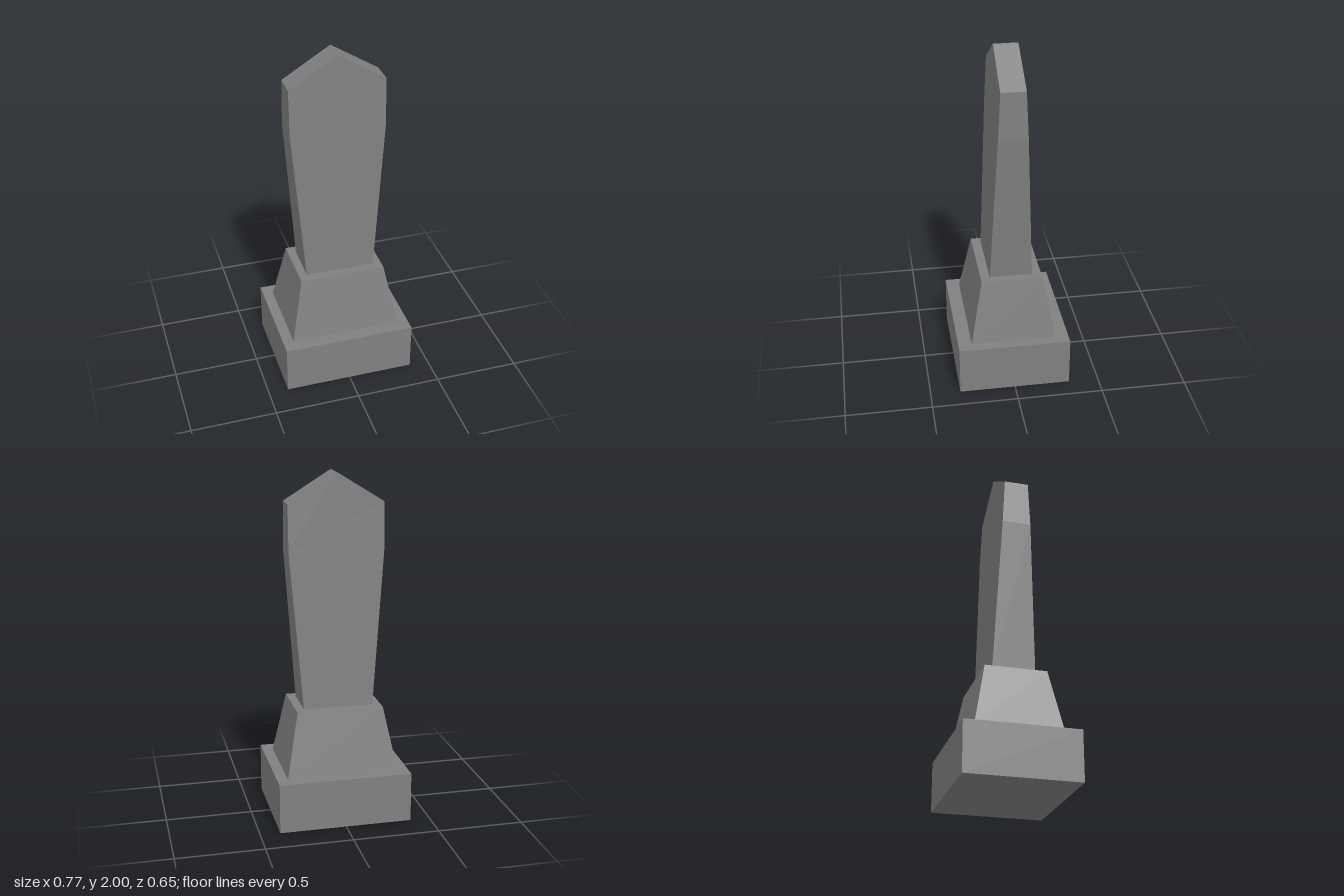
import * as THREE from 'three';

// Closed flat-faced solid from a front outline of [x, y, halfDepth], anticlockwise from the front.
function block(name, outline, z = 0) {
  const front = outline.map(([x, y, d]) => new THREE.Vector3(x, y, d));
  const back = outline.map(([x, y, d]) => new THREE.Vector3(x, y, -d));
  const turned = outline.map(([x, y, d]) => new THREE.Vector3(-x, y, -d));
  const points = [];

  // Front face as a fan, and the rear face as the same fan turned half way round
  for (const face of [front, turned]) {
    for (let i = 1; i < face.length - 1; i++) points.push(face[0], face[i], face[i + 1]);
  }
  // Sides, top and underside join the front outline to the rear one
  front.forEach((p, i) => {
    const j = (i + 1) % front.length;
    points.push(p, back[i], back[j], p, back[j], front[j]);
  });

  const geometry = new THREE.BufferGeometry().setFromPoints(points);
  geometry.computeVertexNormals();
  const material = new THREE.MeshStandardMaterial({ color: 0x808080, flatShading: true });
  const mesh = new THREE.Mesh(geometry, material);
  mesh.name = name;
  mesh.position.z = z;
  return mesh;
}

export function createModel() {
  const group = new THREE.Group();
  group.name = 'monument';
  group.add(
    // Square-edged block on the ground
    block('base', [
      [-0.385, 0, 0.325], [0.385, 0, 0.325],
      [0.385, 0.29, 0.325], [-0.385, 0.29, 0.325],
    ]),
    // Sloping plinth
    block('plinth', [
      [-0.323, 0.29, 0.248], [0.323, 0.29, 0.248],
      [0.25, 0.66, 0.177], [-0.25, 0.66, 0.177],
    ], -0.002),
    // Stone that widens and thins upward to a gabled ridge
    block('headstone', [
      [-0.274, 1.56, 0.083],
      [-0.202, 0.66, 0.123], [0.202, 0.66, 0.123],
      [0.274, 1.56, 0.083], [0.274, 1.83, 0.07],
      [0, 2, 0.069], [-0.274, 1.83, 0.07],
    ], -0.002),
  );
  return group;
}
